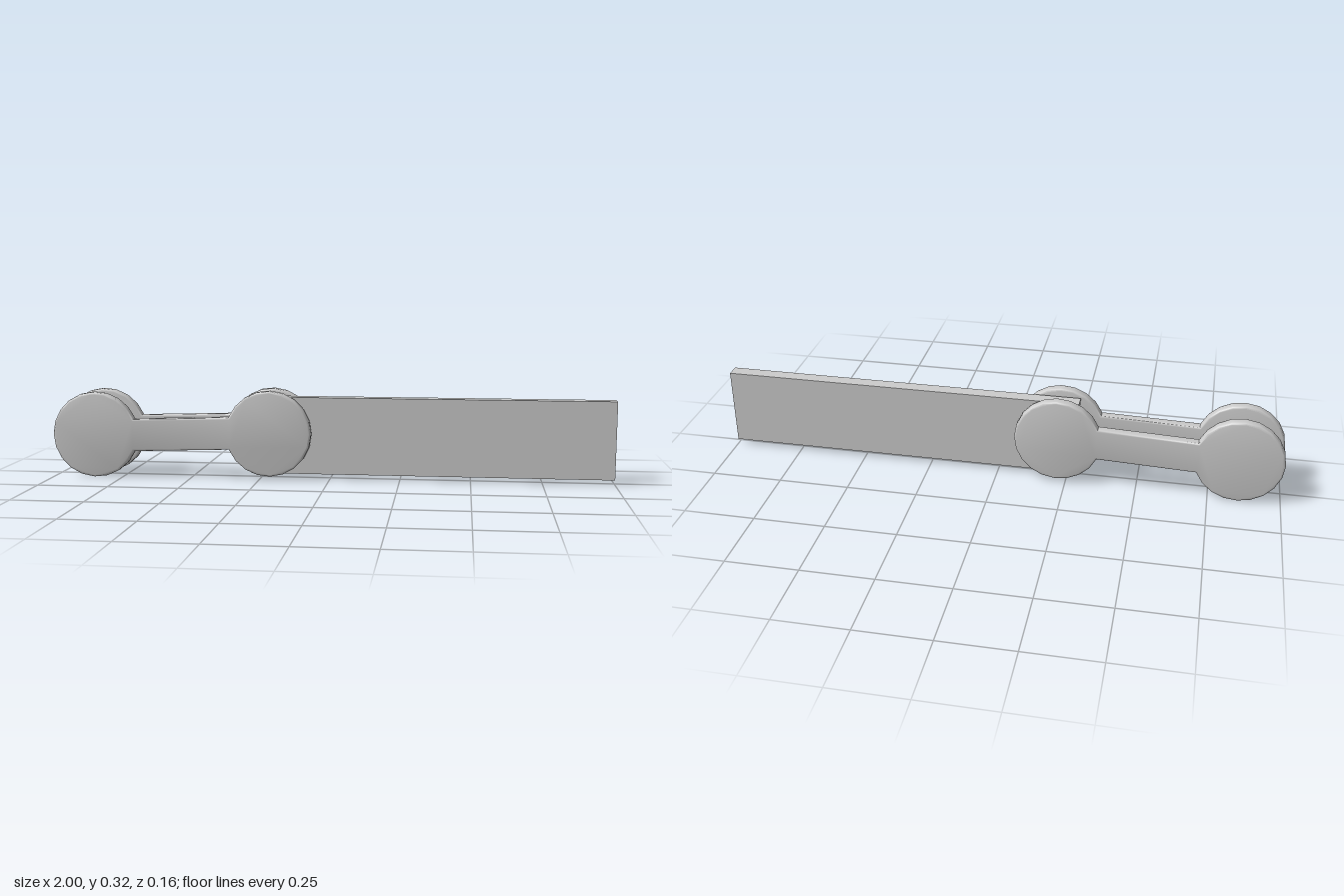
import * as THREE from 'three';
import { toCreasedNormals } from 'three/addons/utils/BufferGeometryUtils.js';

const material = new THREE.MeshStandardMaterial({ color: 0xcccccc });
const LEFT = { x: -0.847, y: 0.157, r: 0.154 };
const RIGHT = { x: -0.217, y: 0.168, r: 0.153 };
const NECK = 0.058; // half height of the bar between the discs

// Dumbbell outline: two discs joined by a straight bar
function linkShape() {
  const points = [];
  const arc = (c, start, sweep) => {
    for (let i = 0; i <= 18; i++) {
      const a = start + (sweep * i) / 18;
      points.push(new THREE.Vector2(c.x + c.r * Math.cos(a), c.y + c.r * Math.sin(a)));
    }
  };
  const a = Math.asin(NECK / LEFT.r);
  const b = Math.asin(NECK / RIGHT.r);
  arc(LEFT, a, 2 * (Math.PI - a));
  arc(RIGHT, Math.PI + b, 2 * (Math.PI - b));
  return new THREE.Shape(points);
}

// Rounded link plate on one side, leaning slightly inwards towards the blade
function linkPlate(side) {
  const depth = 0.037, bevel = 0.007;
  const geometry = new THREE.ExtrudeGeometry(linkShape(), {
    depth: depth - 2 * bevel, bevelEnabled: true, bevelThickness: bevel,
    bevelSize: bevel, bevelOffset: -bevel, bevelSegments: 3,
  });
  geometry.translate(0, 0, bevel - depth / 2);
  const p = geometry.attributes.position;
  for (let i = 0; i < p.count; i++) {
    const t = (p.getX(i) - LEFT.x) / (RIGHT.x - LEFT.x);
    p.setZ(i, p.getZ(i) + side * (0.059 - 0.007 * t));
  }
  return new THREE.Mesh(toCreasedNormals(geometry, 0.75), material);
}

// Slightly waisted pin running between the plates
function pin(c, half) {
  const profile = [[0, -half], [0.1, -half], [0.095, -half * 0.75], [0.093, 0],
    [0.095, half * 0.75], [0.1, half], [0, half]].map(([r, y]) => new THREE.Vector2(r, y));
  const geometry = toCreasedNormals(new THREE.LatheGeometry(profile, 24), 0.8);
  geometry.rotateX(Math.PI / 2);
  geometry.translate(c.x, c.y, 0);
  return new THREE.Mesh(geometry, material);
}

export function createModel() {
  const group = new THREE.Group();
  const add = (name, mesh) => { mesh.name = name; group.add(mesh); };

  add('frontLink', linkPlate(1));
  add('backLink', linkPlate(-1));
  add('endPin', pin(LEFT, 0.045));
  add('bladePin', pin(RIGHT, 0.038));

  // Flat blade clamped between the plates
  const blade = new THREE.Mesh(new THREE.BoxGeometry(1.285, 0.276, 0.048), material);
  blade.position.set(0.3575, 0.158, 0);
  add('blade', blade);
  return group;
}
